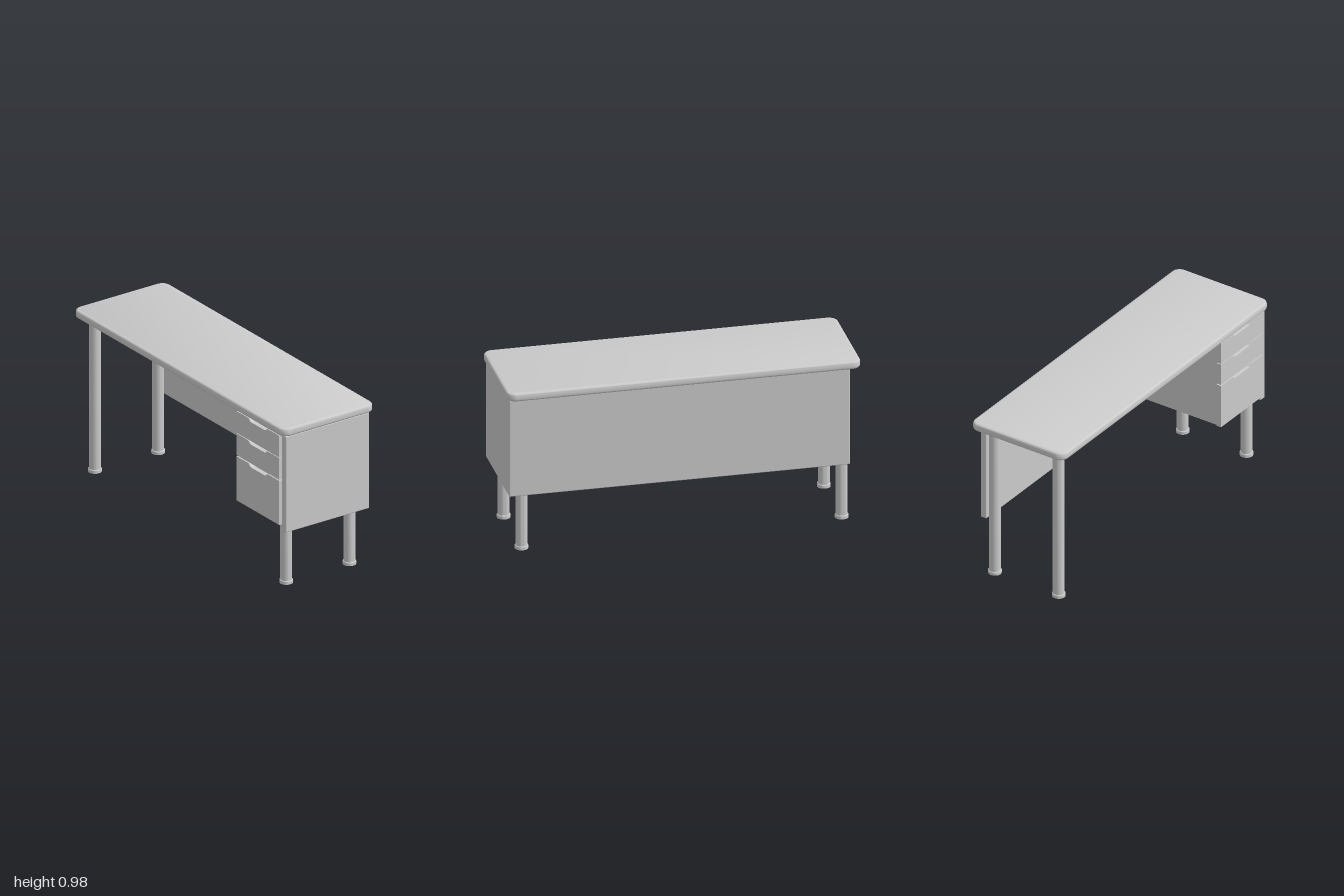
import * as THREE from 'three';
import { toCreasedNormals } from 'three/addons/utils/BufferGeometryUtils.js';
import { RoundedBoxGeometry } from 'three/addons/geometries/RoundedBoxGeometry.js';

const grey = new THREE.MeshStandardMaterial({ color: 0xcccccc });

function add(parent, name, geometry) {
  const mesh = new THREE.Mesh(geometry, grey);
  mesh.name = name;
  parent.add(mesh);
  return mesh;
}

// Softly rounded box given by its min and max corners
function panel(parent, name, [x0, y0, z0], [x1, y1, z1], radius = 0.006) {
  const geo = new RoundedBoxGeometry(x1 - x0, y1 - y0, z1 - z0, 3, radius);
  geo.translate((x0 + x1) / 2, (y0 + y1) / 2, (z0 + z1) / 2);
  return add(parent, name, geo);
}

// Slab with rounded corners and rounded edges
function tabletop() {
  const bevel = 0.014, r = 0.038, thickness = 0.047;
  const w = 1 - bevel, d = 0.3125 - bevel;
  const s = new THREE.Shape();
  s.absarc(w - r, d - r, r, 0, Math.PI / 2);
  s.absarc(-w + r, d - r, r, Math.PI / 2, Math.PI);
  s.absarc(-w + r, -d + r, r, Math.PI, Math.PI * 1.5);
  s.absarc(w - r, -d + r, r, Math.PI * 1.5, Math.PI * 2);
  s.closePath();
  const geo = new THREE.ExtrudeGeometry(s, {
    depth: thickness - 2 * bevel, bevelThickness: bevel, bevelSize: bevel,
    bevelSegments: 5, curveSegments: 10,
  });
  geo.rotateX(-Math.PI / 2);
  geo.translate(0, 0.928 + bevel, 0);
  return toCreasedNormals(geo, 0.6);
}

// Drawer front with a tapered finger notch in its top edge
function drawerFront(x0, x1, y0, y1) {
  const c = (x0 + x1) / 2, dip = 0.017;
  const s = new THREE.Shape();
  s.moveTo(x0, y0);
  s.lineTo(x1, y0);
  s.lineTo(x1, y1);
  s.lineTo(c + 0.095, y1);
  s.bezierCurveTo(c + 0.08, y1, c + 0.08, y1 - dip, c + 0.06, y1 - dip);
  s.lineTo(c - 0.06, y1 - dip);
  s.bezierCurveTo(c - 0.08, y1 - dip, c - 0.08, y1, c - 0.095, y1);
  s.lineTo(x0, y1);
  s.closePath();
  const geo = new THREE.ExtrudeGeometry(s, { depth: 0.03, bevelEnabled: false, curveSegments: 8 });
  geo.translate(0, 0, 0.271);
  return toCreasedNormals(geo, 0.6);
}

// Round tube leg with a wider foot
function legGeometry() {
  const profile = [
    [0, 0], [0.038, 0], [0.038, 0.017], [0.035, 0.021], [0.033, 0.021], [0.033, 0.93], [0, 0.93],
  ].map(([x, y]) => new THREE.Vector2(x, y));
  return toCreasedNormals(new THREE.LatheGeometry(profile, 32), 0.6);
}

export function createModel() {
  const desk = new THREE.Group();
  desk.name = 'desk';

  add(desk, 'tabletop', tabletop());

  // Four legs
  const legGeo = legGeometry();
  for (const [side, x] of [['right', -0.91], ['left', 0.899]]) {
    for (const [end, z] of [['Front', 0.222], ['Back', -0.205]]) {
      add(desk, `${side}${end}Leg`, legGeo).position.set(x, 0, z);
    }
  }

  // Back modesty panel and closed end panel
  panel(desk, 'backPanel', [-0.94, 0.345, -0.28], [0.985, 0.926, -0.242]);
  panel(desk, 'endPanel', [0.945, 0.345, -0.28], [0.985, 0.926, 0.285]);

  // Drawer pedestal: carcass and three fronts
  const pedestal = new THREE.Group();
  pedestal.name = 'drawerPedestal';
  desk.add(pedestal);
  panel(pedestal, 'carcass', [0.542, 0.385, -0.245], [0.946, 0.929, 0.272], 0.002);
  const rows = [['topDrawer', 0.79, 0.921], ['middleDrawer', 0.655, 0.786], ['bottomDrawer', 0.382, 0.648]];
  for (const [name, y0, y1] of rows) add(pedestal, name, drawerFront(0.54, 0.944, y0, y1));

  return desk;
}
